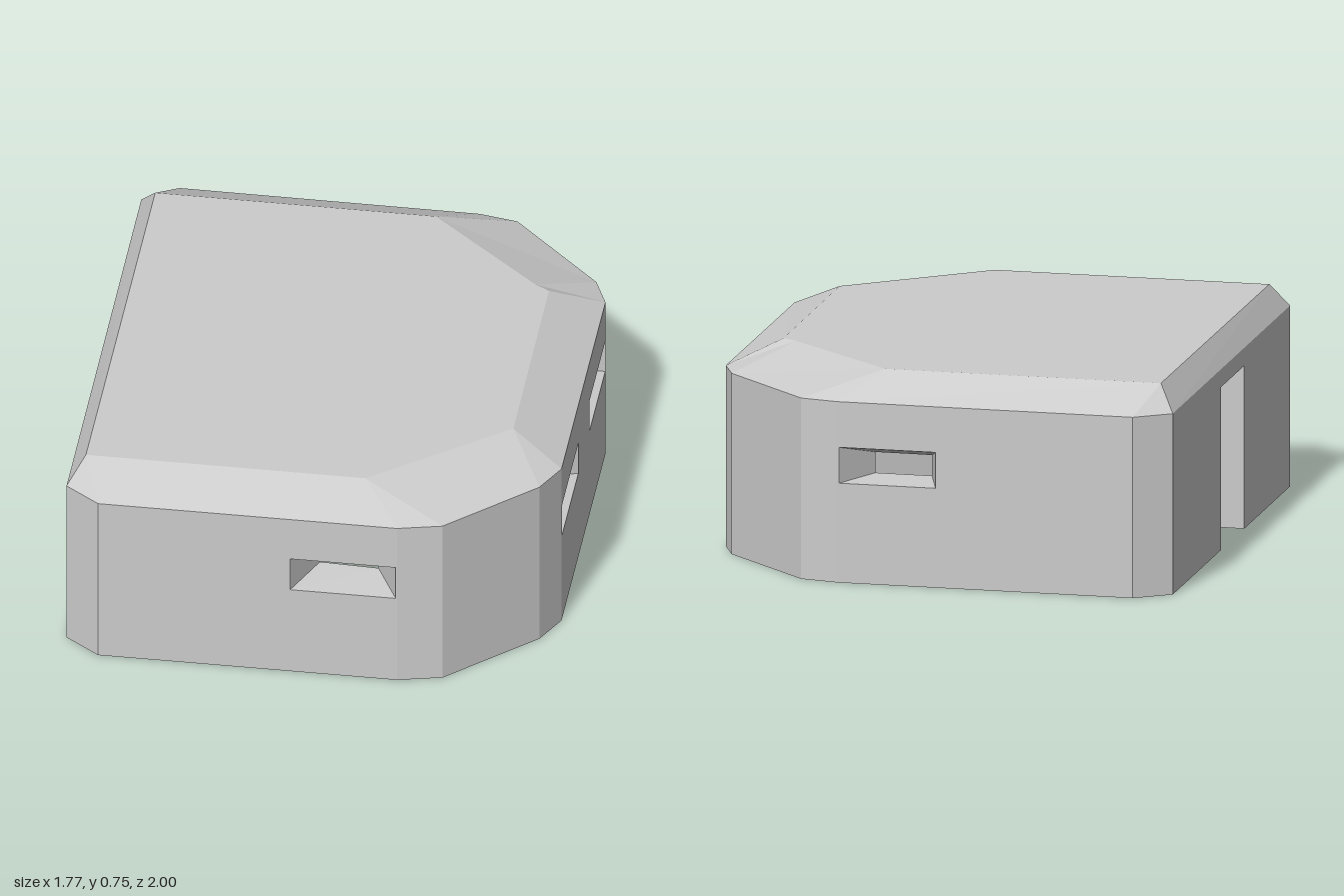
import * as THREE from 'three';

const material = new THREE.MeshStandardMaterial({ color: 0xcccccc, flatShading: true });
const WALL_TOP = 0.655, ROOF_TOP = 0.745, CEILING = 0.7;

// Plan outlines as [x, z], running left to right when seen from outside
const outer = [
  [-0.81, 0.915], [-0.68, 1], [0.385, 0.945], [0.54, 0.9], [0.83, 0.6], [0.885, 0.475],
  [0.84, -0.555], [0.785, -0.67], [0.44, -0.98], [0.3, -1], [-0.77, -0.95], [-0.89, -0.855],
];
const inner = [[-0.66, 0.81], [0.25, 0.8], [0.73, 0.41], [0.69, -0.45], [0.21, -0.845], [-0.73, -0.81]];
const roof = [[-0.755, 0.84], [0.24, 0.79], [0.695, 0.39], [0.655, -0.46], [0.6, -0.49], [0.175, -0.83], [-0.825, -0.78]];
const roofIndex = [0, 0, 1, 1, 2, 2, 3, 4, 5, 5, 6, 6]; // roof corner above each outer corner
const ceiling = inner.map(([x, z]) => [x * 0.92, z * 0.92]);

// Openings: wall edges, axis (0 = x, 1 = z), [start, end, bottom, top] outside and inside
const openings = [
  { name: 'frontEmbrasure', o: 1, i: 0, axis: 0, out: [0.005, 0.381, 0.352, 0.485], in: [0.08, 0.29, 0.37, 0.465] },
  { name: 'sideEmbrasureFront', o: 5, i: 2, axis: 1, out: [0.465, 0.08, 0.36, 0.49], in: [0.43, 0.165, 0.375, 0.465] },
  { name: 'sideEmbrasureRear', o: 5, i: 2, axis: 1, out: [-0.18, -0.55, 0.36, 0.49], in: [-0.245, -0.51, 0.375, 0.465] },
  { name: 'backEmbrasure', o: 9, i: 4, axis: 0, out: [0.295, -0.055, 0.36, 0.49], in: [0.205, 0.0, 0.37, 0.445] },
  { name: 'doorway', o: 11, i: 5, axis: 1, out: [-0.13, 0.22, 0, 0.59], in: [-0.13, 0.22, 0, 0.59], door: true },
];

const edge = (loop, k) => [loop[k], loop[(k + 1) % loop.length]];

// Point on a plan edge where the given axis has the given value
function pointOn([p, q], axis, value) {
  const t = (value - p[axis]) / (q[axis] - p[axis]);
  return [p[0] + (q[0] - p[0]) * t, p[1] + (q[1] - p[1]) * t];
}

// Mesh from four-cornered faces, dropping collapsed triangles
function quadMesh(name, quads) {
  const points = [];
  for (const [a, b, c, d] of quads) {
    for (const tri of [[a, b, c], [a, c, d]]) {
      const t = new THREE.Triangle(...tri.map((v) => new THREE.Vector3(...v)));
      if (t.getArea() > 1e-6) points.push(t.a, t.b, t.c);
    }
  }
  const geometry = new THREE.BufferGeometry().setFromPoints(points);
  geometry.computeVertexNormals();
  const mesh = new THREE.Mesh(geometry, material);
  mesh.name = name;
  return mesh;
}

// Upright wall face from p to q, with window holes and door notches
function wallFace(name, p, q, height, cuts) {
  const origin = new THREE.Vector3(p[0], 0, p[1]);
  const dir = new THREE.Vector3(q[0], 0, q[1]).sub(origin);
  const length = dir.length();
  dir.normalize();
  const outline = [[0, 0]], holes = [];
  for (const { ends, y0, y1, door } of cuts) {
    const [a, b] = ends.map((e) => Math.hypot(e[0] - p[0], e[1] - p[1])).sort((m, n) => m - n);
    if (door) outline.push([a, 0], [a, y1], [b, y1], [b, 0]);
    else holes.push([[a, y0], [b, y0], [b, y1], [a, y1]]);
  }
  outline.push([length, 0], [length, height], [0, height]);
  const vectors = (list) => list.map((v) => new THREE.Vector2(...v));
  const shape = new THREE.Shape(vectors(outline));
  shape.holes = holes.map((h) => new THREE.Path(vectors(h)));
  const up = new THREE.Vector3(0, 1, 0);
  const matrix = new THREE.Matrix4().makeBasis(dir, up, dir.clone().cross(up)).setPosition(origin);
  const mesh = new THREE.Mesh(new THREE.ShapeGeometry(shape).applyMatrix4(matrix), material);
  mesh.name = name;
  return mesh;
}

// Level face from a plan outline, facing up (1) or down (-1)
function levelFace(name, loop, y, facing) {
  const shape = new THREE.Shape(loop.map(([x, z]) => new THREE.Vector2(x, -facing * z)));
  const geometry = new THREE.ShapeGeometry(shape).rotateX(-facing * Math.PI / 2).translate(0, y, 0);
  const mesh = new THREE.Mesh(geometry, material);
  mesh.name = name;
  return mesh;
}

export function createModel() {
  const bunker = new THREE.Group();
  bunker.name = 'bunker';
  const cutsFor = (loop, key, side, k) => openings.filter((w) => w[key] === k).map((w) => {
    const [a, b, y0, y1] = w[side];
    const e = edge(loop, k);
    return { ends: [pointOn(e, w.axis, a), pointOn(e, w.axis, b)], y0, y1, door: w.door };
  });

  // Outer and inner wall faces
  outer.forEach((_, k) => {
    const [p, q] = edge(outer, k);
    bunker.add(wallFace('outerWall' + k, p, q, WALL_TOP, cutsFor(outer, 'o', 'out', k)));
  });
  inner.forEach((_, k) => {
    const [p, q] = edge(inner, k);
    bunker.add(wallFace('innerWall' + k, q, p, WALL_TOP, cutsFor(inner, 'i', 'in', k)));
  });

  // Splayed sides of the embrasures and the door reveal
  for (const w of openings) {
    const corners = (e, [a, b, y0, y1]) => [[a, y0], [b, y0], [b, y1], [a, y1]].map(([s, y]) => {
      const [x, z] = pointOn(e, w.axis, s);
      return [x, y, z];
    });
    const o = corners(edge(outer, w.o), w.out), n = corners(edge(inner, w.i), w.in);
    const sides = (w.door ? [1, 2, 3] : [0, 1, 2, 3]).map((k) => [o[k], o[(k + 1) % 4], n[(k + 1) % 4], n[k]]);
    bunker.add(quadMesh(w.name, sides));
  }

  // Underside of the walls, interrupted by the doorway
  const door = openings[4];
  const jamb = (e, side, k) => pointOn(e, 1, door[side][k]);
  const outEdge = edge(outer, door.o), inEdge = edge(inner, door.i);
  bunker.add(levelFace('wallBase', [
    jamb(outEdge, 'out', 1), ...outer, jamb(outEdge, 'out', 0),
    jamb(inEdge, 'in', 0), ...[...inner].reverse(), jamb(inEdge, 'in', 1),
  ], 0, -1));

  // Roof with sloping edges, and the ceiling with its own slopes
  const lift = ([x, z], y) => [x, y, z];
  bunker.add(levelFace('roof', roof, ROOF_TOP, 1));
  bunker.add(quadMesh('roofSlope', outer.map((_, k) => {
    const [p, q] = edge(outer, k), [i, j] = edge(roofIndex, k);
    return [lift(p, WALL_TOP), lift(q, WALL_TOP), lift(roof[j], ROOF_TOP), lift(roof[i], ROOF_TOP)];
  })));
  bunker.add(levelFace('ceiling', ceiling, CEILING, -1));
  bunker.add(quadMesh('ceilingSlope', inner.map((_, k) => {
    const [p, q] = edge(inner, k), [c, d] = edge(ceiling, k);
    return [lift(q, WALL_TOP), lift(p, WALL_TOP), lift(c, CEILING), lift(d, CEILING)];
  })));
  return bunker;
}
